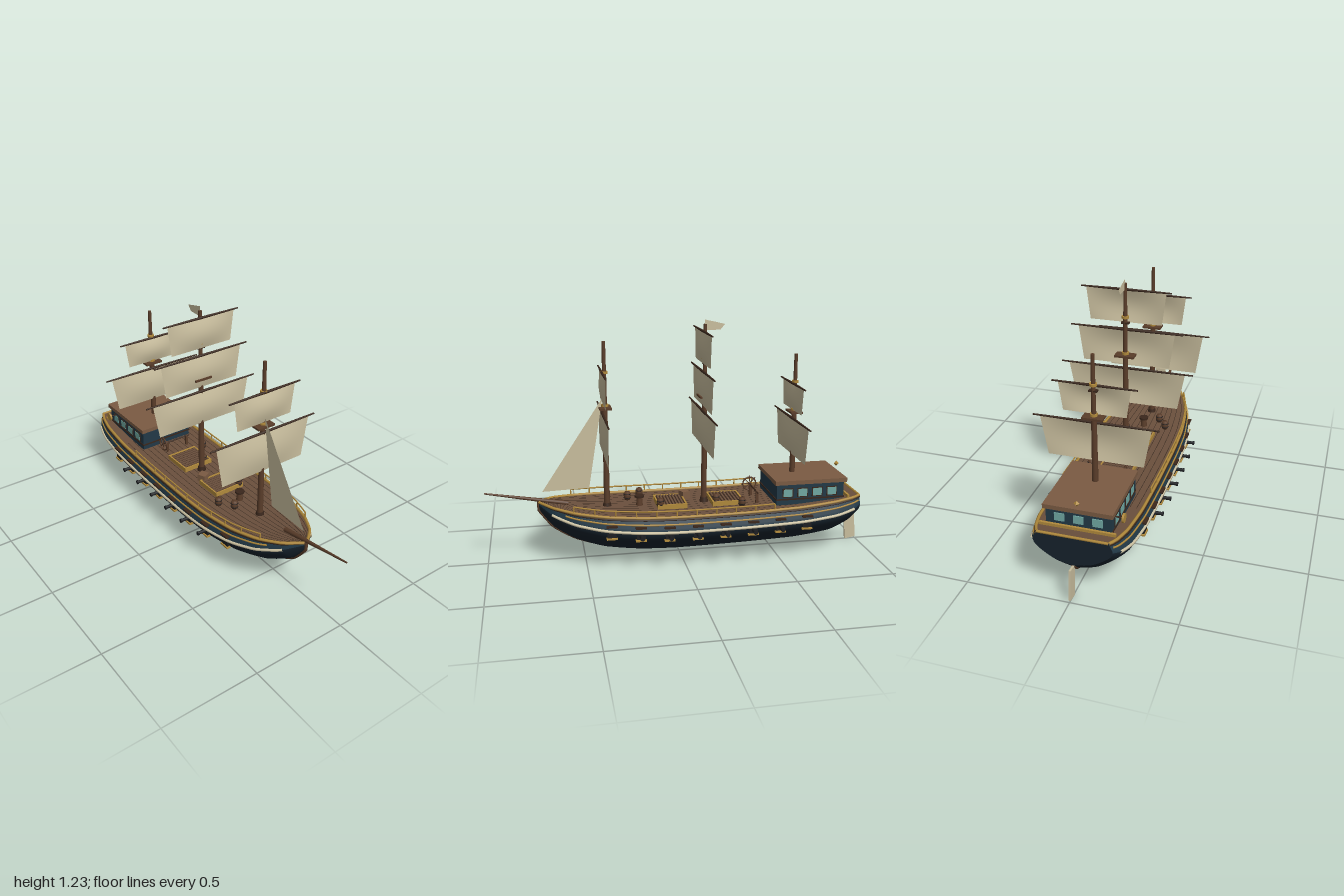
import * as THREE from 'three';
import { ParametricGeometry } from 'three/addons/geometries/ParametricGeometry.js';

const V = (x, y, z) => new THREE.Vector3(x, y, z);
const mat = (color) => new THREE.MeshStandardMaterial({ color, side: THREE.DoubleSide });
const M = {
  hull: mat(0x16222c), upper: mat(0x223947), deck: mat(0x6b503d), seam: mat(0x3a2b20), wood: mat(0x5a3d2a),
  dark: mat(0x3a271c), gold: mat(0xb18a3c), cream: mat(0xd2c7a6), sail: mat(0xcabf9f), roof: mat(0x7b5b43),
  glass: mat(0x72aaa4), iron: mat(0x1d1f22),
};

// Hull stations: x, keel height, sheer height, greatest half-breadth
const stations = [
  [-0.94, 0.16, 0.31, 0.185], [-0.9, 0.12, 0.305, 0.207], [-0.8, 0.075, 0.295, 0.232], [-0.6, 0.05, 0.28, 0.247],
  [-0.3, 0.04, 0.272, 0.251], [0, 0.035, 0.27, 0.25], [0.2, 0.04, 0.273, 0.243], [0.4, 0.065, 0.282, 0.215],
  [0.55, 0.115, 0.295, 0.165], [0.66, 0.185, 0.31, 0.095], [0.73, 0.275, 0.32, 0.008],
];
const shapeCurve = new THREE.CatmullRomCurve3(stations.map((s) => V(s[1], s[2], s[3])));
const xCurve = new THREE.CatmullRomCurve3(stations.map((s) => V(s[0], 0, 0)));
// Cross-section from keel to sheer: breadth and height as fractions
const section = new THREE.CatmullRomCurve3([
  V(0.03, 0, 0), V(0.45, 0.12, 0), V(0.75, 0.33, 0), V(0.95, 0.54, 0), V(1, 0.68, 0), V(0.97, 0.82, 0), V(0.9, 1, 0)]);

// Point on the hull: t runs stern to bow, s keel to sheer
function hullPoint(t, s, side = 1) {
  const a = shapeCurve.getPoint(t), c = section.getPoint(s);
  return V(xCurve.getPoint(t).x, a.x + (a.y - a.x) * c.y, side * a.z * c.x);
}
function tAt(x) {
  let lo = 0, hi = 1;
  for (let i = 0; i < 30; i++) {
    const m = (lo + hi) / 2;
    if (xCurve.getPoint(m).x < x) lo = m; else hi = m;
  }
  return lo;
}

export function createModel() {
  const ship = new THREE.Group();
  ship.name = 'sailingShip';
  const add = (name, geo, material, x = 0, y = 0, z = 0) => {
    const m = new THREE.Mesh(geo, material);
    m.name = name;
    m.position.set(x, y, z);
    ship.add(m);
    return m;
  };
  const box = (name, w, h, d, material, x, y, z) => add(name, new THREE.BoxGeometry(w, h, d), material, x, y, z);
  const tube = (name, pts, r, material) =>
    add(name, new THREE.TubeGeometry(new THREE.CatmullRomCurve3(pts), pts.length * 2, r, 6), material);
  const rod = (name, a, b, r0, r1, material, sides = 10) => {
    const m = add(name, new THREE.CylinderGeometry(r1, r0, a.distanceTo(b), sides), material);
    m.position.copy(a).add(b).multiplyScalar(0.5);
    m.quaternion.setFromUnitVectors(V(0, 1, 0), b.clone().sub(a).normalize());
    return m;
  };
  const surface = (name, f, nu, nv, material) =>
    add(name, new ParametricGeometry((u, v, p) => p.copy(f(u, v)), nu, nv), material);
  const hullLine = (x0, x1, s, side, dy = 0, n = 30) => {
    const t0 = tAt(x0), t1 = tAt(x1);
    return Array.from({ length: n + 1 }, (_, i) => {
      const p = hullPoint(t0 + (t1 - t0) * i / n, s, side);
      p.y += dy;
      return p;
    });
  };

  // Hull shell, trim, rails and guns, mirrored about the centreline
  for (const side of [1, -1]) {
    const strip = (s0, s1) => (u, v) => hullPoint(side > 0 ? u : 1 - u, s0 + (s1 - s0) * v, side);
    surface('lowerHull', strip(0, 0.68), 60, 14, M.hull);
    surface('upperHull', strip(0.68, 1), 60, 6, M.upper);
    tube('wale', hullLine(-0.9, 0.665, 0.68, side), 0.008, M.cream);
    tube('goldBand', hullLine(-0.93, 0.6, 0.87, side), 0.005, M.gold);
    tube('gunwale', hullLine(-0.94, 0.728, 1, side), 0.008, M.gold);
    tube('gunwaleCap', hullLine(-0.94, 0.728, 0.96, side), 0.006, M.dark);
    tube('handrail', hullLine(-0.46, 0.56, 1, side, 0.034), 0.004, M.gold);
    for (let x = -0.46; x < 0.57; x += 0.102) {
      const p = hullPoint(tAt(x), 1, side);
      rod('railPost', p, p.clone().add(V(0, 0.034, 0)), 0.004, 0.004, M.gold, 6);
    }
    for (let i = 0; i < 8; i++) {
      const x = -0.63 + i * 0.144, t = tAt(x);
      const p = hullPoint(t, 0.56, side), q = hullPoint(t, 0.8, side);
      box('portSill', 0.055, 0.008, 0.022, M.gold, x, p.y - 0.016, p.z);
      box('portLid', 0.055, 0.008, 0.03, M.dark, x, q.y + 0.005, q.z);
      box('gunPort', 0.045, 0.032, 0.012, M.iron, x, p.y + 0.006, p.z);
      if (i > 0 && i < 7) {
        const a = V(x, p.y + 0.007, p.z - side * 0.02), b = V(x, p.y + 0.009, p.z + side * 0.043);
        rod('cannon', a, b, 0.011, 0.008, M.iron, 10);
        rod('muzzle', b, b.clone().add(V(0, 0, side * 0.008)), 0.011, 0.011, M.iron, 10);
      }
    }
  }
  surface('transom', (u, v) => hullPoint(0, v, 2 * u - 1), 8, 12, M.hull);
  surface('deck', (u, v) => {
    const p = hullPoint(u, 0.97, 1 - 2 * v);
    p.y += 0.004;
    return p;
  }, 60, 4, M.deck);
  for (let k = -6; k <= 6; k++) {
    surface('deckSeam', (u, v) => {
      const p = hullPoint(0.3 + 0.69 * u, 0.97, k / 7);
      return p.add(V(0, 0.0055, (v - 0.5) * 0.003));
    }, 40, 1, M.seam);
  }
  const keel = Array.from({ length: 41 }, (_, i) => hullPoint(i / 40, 0, 0));
  keel.push(hullPoint(1, 1, 0));
  tube('keel', keel, 0.009, M.wood);
  box('sternRail', 0.012, 0.014, 0.36, M.gold, -0.875, 0.312, 0);
  tube('taffrail', [hullPoint(0, 1, 1), hullPoint(0, 1, 0), hullPoint(0, 1, -1)], 0.007, M.gold);

  // Rudder blade and pennant, thin plates in the centre plane
  const plate = (name, pts, material) => add(name,
    new THREE.ShapeGeometry(new THREE.Shape(pts.map((p) => new THREE.Vector2(...p)))), material);
  const rudder = new THREE.Shape([[-1, 0.01], [-0.94, 0], [-0.928, 0.155], [-0.985, 0.162]].map((p) => new THREE.Vector2(...p)));
  add('rudder', new THREE.ExtrudeGeometry(rudder, { depth: 0.01, bevelEnabled: false }), M.sail, 0, 0, -0.005);
  plate('pennant', [[-0.135, 1.178], [-0.135, 1.232], [-0.18, 1.222], [-0.238, 1.208], [-0.215, 1.18]], M.sail);
  plate('jib', [[0.392, 0.85], [0.47, 0.38], [0.71, 0.372]], M.sail);
  rod('bowsprit', V(0.58, 0.303, 0), V(1, 0.38, 0), 0.013, 0.004, M.wood);

  // Cabin
  box('cabin', 0.365, 0.11, 0.31, M.upper, -0.673, 0.33, 0);
  box('cabinRoof', 0.39, 0.022, 0.33, M.roof, -0.675, 0.397, 0);
  box('cabinSill', 0.372, 0.008, 0.316, M.dark, -0.673, 0.305, 0);
  for (const side of [1, -1]) {
    for (let i = 0; i < 4; i++) {
      box('windowFrame', 0.058, 0.05, 0.004, M.dark, -0.79 + i * 0.08, 0.34, side * 0.156);
      box('window', 0.048, 0.04, 0.006, M.glass, -0.79 + i * 0.08, 0.34, side * 0.157);
    }
  }
  for (const z of [-0.09, 0, 0.09]) box('sternWindow', 0.006, 0.04, 0.048, M.glass, -0.857, 0.345, z);
  rod('lifebuoy', V(-0.805, 0.36, 0.19), V(-0.805, 0.36, 0.2), 0.022, 0.022, M.gold, 16);
  rod('buoyBracket', V(-0.805, 0.36, 0.155), V(-0.805, 0.36, 0.19), 0.004, 0.004, M.dark, 6);
  add('sternLantern', new THREE.OctahedronGeometry(0.014), M.gold, -0.87, 0.44, 0);

  // Masts: each sail is [yard height, foot height, head half-width, foot half-width, yard half-length]
  const masts = [
    { x: -0.62, top: 1.045, platform: 0.74, collar: 0.9,
      sails: [[0.705, 0.51, 0.265, 0.23, 0.3], [0.89, 0.75, 0.17, 0.15, 0.2]] },
    { x: -0.135, top: 1.21, platform: 0.84, collar: 1.04,
      sails: [[0.765, 0.575, 0.3, 0.265, 0.34], [0.97, 0.79, 0.245, 0.22, 0.285], [1.175, 1.01, 0.2, 0.18, 0.225]] },
    { x: 0.38, top: 1.135, platform: 0.8, collar: 0.98,
      sails: [[0.765, 0.545, 0.28, 0.245, 0.315], [0.98, 0.82, 0.18, 0.16, 0.21]] },
  ];
  for (const { x, top, platform, collar, sails } of masts) {
    rod('lowerMast', V(x, 0.26, 0), V(x, platform, 0), 0.016, 0.013, M.wood, 12);
    rod('topMast', V(x, platform - 0.05, 0), V(x, top, 0), 0.012, 0.009, M.wood, 12);
    rod('mastCoat', V(x, 0.27, 0), V(x, 0.295, 0), 0.024, 0.019, M.dark, 12);
    box('mastTop', 0.062, 0.01, 0.1, M.wood, x, platform, 0);
    for (const h of [platform + 0.012, collar]) rod('collar', V(x, h - 0.006, 0), V(x, h + 0.006, 0), 0.018, 0.018, M.gold, 12);
    box('crossTree', 0.02, 0.008, 0.04, M.dark, x, collar - 0.03, 0);
    for (const [y, foot, w0, w1, yard] of sails) {
      for (const side of [1, -1]) rod('yard', V(x + 0.012, y, 0), V(x + 0.012, y, side * yard), 0.007, 0.004, M.dark, 8);
      surface('squareSail', (u, v) => V(
        x + 0.01 + 0.016 * Math.sin(Math.PI * v) * Math.sin(Math.PI * u),
        foot + (y - foot) * v,
        (2 * u - 1) * (w1 + (w0 - w1) * v)), 16, 10, M.sail);
    }
  }

  // Grated hatches
  for (const [x0, x1] of [[-0.33, -0.17], [-0.025, 0.12]]) {
    const cx = (x0 + x1) / 2, w = x1 - x0;
    box('hatchWell', w, 0.02, 0.17, M.dark, cx, 0.277, 0);
    for (const side of [1, -1]) {
      box('hatchCoaming', w + 0.01, 0.026, 0.008, M.gold, cx, 0.279, side * 0.083);
      box('hatchCoaming', 0.008, 0.026, 0.17, M.gold, cx + side * w / 2, 0.279, 0);
    }
    for (let i = 1; i < 9; i++) box('grating', 0.009, 0.006, 0.16, M.deck, x0 + w * i / 9, 0.289, 0);
  }

  // Barrels, crate and capstan
  const profile = [[0, 0], [0.014, 0], [0.018, 0.012], [0.019, 0.022], [0.018, 0.032], [0.014, 0.044], [0, 0.044]];
  const barrel = new THREE.LatheGeometry(profile.map((p) => new THREE.Vector2(...p)), 14);
  for (const [x, z] of [[-0.31, -0.13], [-0.19, -0.05], [0.11, -0.07], [0.265, 0.075], [0.195, 0.125]]) {
    add('barrel', barrel, M.wood, x, 0.278, z);
    for (const h of [0.012, 0.032]) {
      add('barrelHoop', new THREE.TorusGeometry(0.018, 0.002, 5, 14).rotateX(Math.PI / 2), M.iron, x, 0.278 + h, z);
    }
  }
  box('crate', 0.045, 0.04, 0.045, M.roof, -0.04, 0.296, 0.055).rotation.y = 0.4;
  rod('capstan', V(0.21, 0.27, 0), V(0.21, 0.318, 0), 0.018, 0.014, M.wood, 12);
  rod('capstanHead', V(0.21, 0.314, 0), V(0.21, 0.324, 0), 0.025, 0.025, M.dark, 12);

  // Steering wheel on its axle and posts
  const hub = V(-0.405, 0.328, 0.075);
  add('wheelRim', new THREE.TorusGeometry(0.036, 0.004, 8, 28), M.wood, hub.x, hub.y, hub.z);
  for (let i = 0; i < 4; i++) {
    const a = i * Math.PI / 4, d = V(Math.cos(a), Math.sin(a), 0).multiplyScalar(0.046);
    rod('wheelSpoke', hub.clone().sub(d), hub.clone().add(d), 0.0025, 0.0025, M.wood, 6);
  }
  rod('wheelAxle', V(hub.x, hub.y, -0.1), V(hub.x, hub.y, 0.085), 0.004, 0.004, M.dark, 8);
  for (const z of [-0.08, 0.05]) box('wheelPost', 0.014, 0.06, 0.012, M.wood, hub.x, 0.3, z);

  return ship;
}
